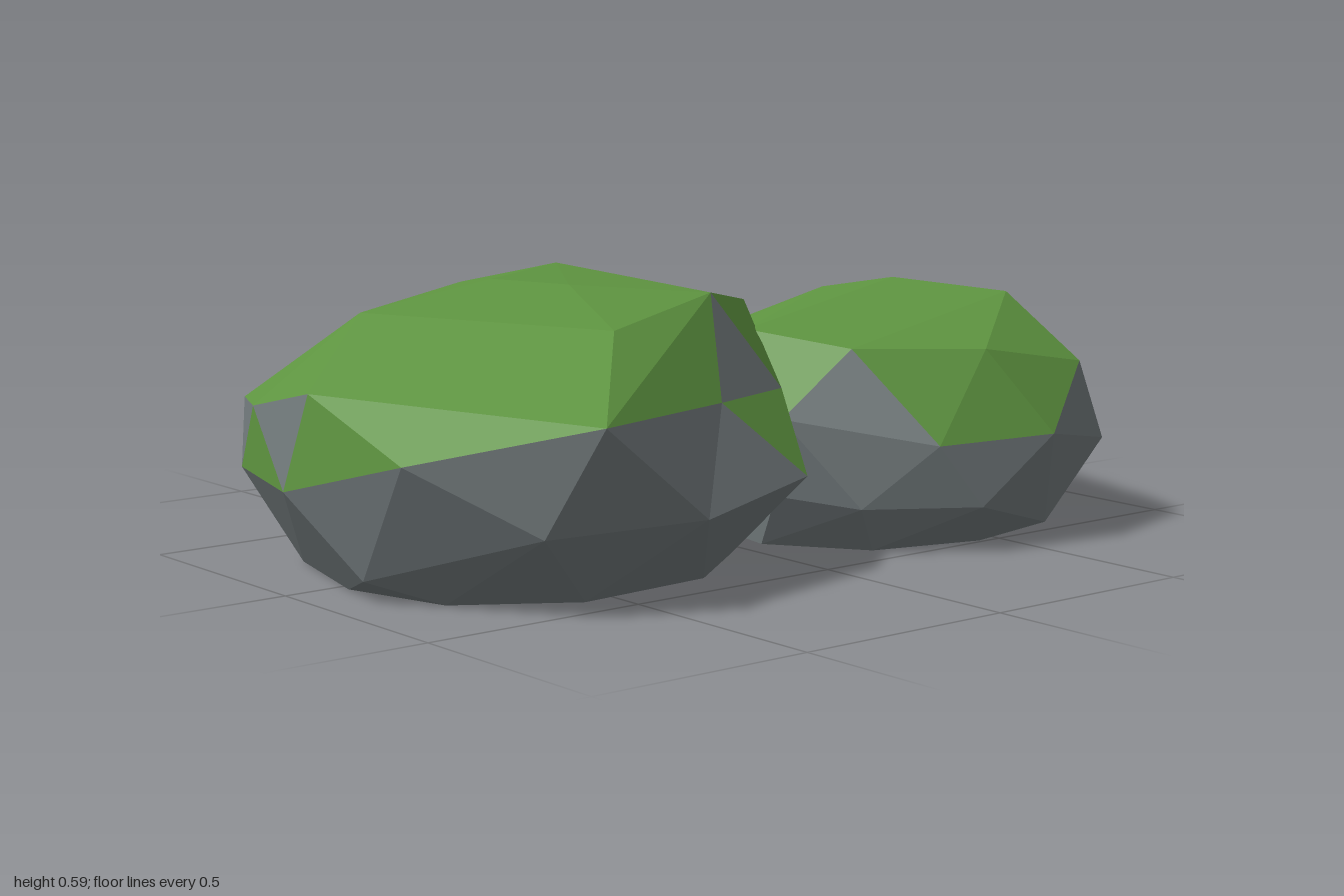
import * as THREE from 'three';
import { ConvexGeometry } from 'three/addons/geometries/ConvexGeometry.js';

const moss = new THREE.MeshStandardMaterial({ color: 0x5e9440 });
moss.name = 'moss green';
const stone = new THREE.MeshStandardMaterial({ color: 0x727a7c });
stone.name = 'stone grey';

const vec = (p) => new THREE.Vector3(...p);
const centre = (pts) => pts.reduce((s, p) => s.add(p), new THREE.Vector3()).divideScalar(pts.length);

// A faceted boulder: a hull whose dented corners sink from an outer to a final
// position, with moss above a height and single facets swapped by patches
function boulder(name, points, dents, mossHeight, mossPatches, stonePatches) {
  const geo = new ConvexGeometry([...points, ...dents.map((d) => d.from)].map(vec));
  const pos = geo.getAttribute('position');
  const corner = (i) => {
    const v = new THREE.Vector3().fromBufferAttribute(pos, i);
    const dent = dents.find((d) => vec(d.from).distanceTo(v) < 1e-4);
    return dent ? vec(dent.to) : v;
  };
  const parts = { Moss: [], Stone: [] };
  for (let i = 0; i < pos.count; i += 3) {
    const tri = [corner(i), corner(i + 1), corner(i + 2)];
    const mid = centre(tri);
    const near = (list) => list.some((t) => centre(t.map(vec)).distanceTo(mid) < 0.045);
    const green = near(mossPatches) || (mid.y > mossHeight && !near(stonePatches));
    tri.forEach((v) => parts[green ? 'Moss' : 'Stone'].push(v.x, v.y, v.z));
  }
  const group = new THREE.Group();
  group.name = name;
  for (const key in parts) {
    const g = new THREE.BufferGeometry();
    g.setAttribute('position', new THREE.Float32BufferAttribute(parts[key], 3));
    g.computeVertexNormals();
    const mesh = new THREE.Mesh(g, key === 'Moss' ? moss : stone);
    mesh.name = name + key;
    group.add(mesh);
  }
  return group;
}

function largeBoulder() {
  // Crown
  const N = [-0.48, 0.53, 0.4], T = [-0.15, 0.57, 0.3], S = [0.135, 0.51, 0.07];
  const A = [-0.26, 0.53, -0.44], P = [-0.97, 0.41, 0.05];
  const crown = [N, T, S, A, P, [-0.46, 0.59, -0.04], [-0.18, 0.59, -0.19], [-0.76, 0.54, -0.08], [-0.38, 0.587, 0.12]];
  // Shoulder
  const L = [-0.94, 0.3, 0.33], R = [-0.67, 0.385, 0.62], B = [-0.41, 0.33, -0.55];
  const G = [-0.76, 0.31, -0.54], I = [-0.92, 0.345, -0.24];
  // Dented shoulder corners
  const U = [-0.27, 0.375, 0.48], K = [0.01, 0.36, 0.34], E = [0.02, 0.44, -0.22], D = [-0.11, 0.34, -0.44];
  const dents = [
    { from: [-0.27, 0.375, 0.53], to: U }, { from: [0.1, 0.38, 0.4], to: K },
    { from: [0.12, 0.46, -0.27], to: E }, { from: [-0.1, 0.38, -0.52], to: D },
  ];
  // Girth
  const Q = [-1, 0.21, 0], V = [-0.08, 0.21, 0.525], W = [-0.41, 0.175, 0.61], X = [0.17, 0.2, -0.18];
  const F = [0.13, 0.22, -0.34], C = [-0.15, 0.12, -0.62], H = [-0.89, 0.2, -0.34];
  const girth = [Q, V, W, X, F, C, H, [-0.75, 0.165, 0.53], [-0.6, 0.15, -0.58], [-0.92, 0.045, 0.16]];
  // Flat underside
  const base = [[-0.87, 0, 0.03], [-0.8, 0, 0.27], [-0.57, 0, 0.42], [-0.25, 0, 0.4], [-0.05, 0, 0.25],
    [-0.03, 0, 0], [-0.1, 0, -0.3], [-0.3, 0, -0.43], [-0.62, 0, -0.42], [-0.8, 0, -0.25]];
  return boulder('largeBoulder', [...crown, L, R, B, G, I, ...girth, ...base], dents, 0.355,
    [[U, K, V], [I, H, Q], [P, Q, L], [C, D, F], [D, E, F], [E, F, X], [R, P, L], [A, B, D], [G, I, P]],
    [[T, U, K], [A, E, D]]);
}

function smallBoulder() {
  // Crown
  const a = [0.55, 0.53, 0.1], b = [0.68, 0.51, 0.33], c = [0.58, 0.48, -0.17], d = [0.065, 0.46, 0.16];
  const e = [0.18, 0.43, 0.37], f = [0.45, 0.42, 0.5], g = [0.31, 0.39, -0.26], w = [0.78, 0.44, 0.06];
  // Shoulder
  const h = [0.73, 0.37, 0.51], j = [0.93, 0.3, 0.05], k = [0.81, 0.33, -0.17], v = [0.11, 0.4, -0.08];
  const l = [0.27, 0.235, 0.55], m = [0.55, 0.24, 0.61], n = [0.02, 0.29, 0.33];
  // Dented shoulder corners
  const i = [0.83, 0.345, 0.28], u = [0.53, 0.31, -0.25];
  const dents = [{ from: [0.91, 0.37, 0.32], to: i }, { from: [0.54, 0.35, -0.33], to: u }];
  // Girth
  const o = [0.83, 0.185, 0.49], p = [1, 0.145, 0.22], q = [0.93, 0.14, -0.09], r = [0.69, 0.15, -0.31];
  const s = [0.17, 0.25, -0.19], t = [0.39, 0.15, -0.3];
  const girth = [o, p, q, r, s, t, [0.36, 0.1, 0.59], [0.14, 0.1, 0.45], [0.6, 0.03, 0.54], [0.03, 0.12, 0.3]];
  // Flat underside
  const base = [[0.82, 0, 0.08], [0.79, 0, 0.33], [0.45, 0, 0.49], [0.2, 0, 0.42], [0.06, 0, 0.22],
    [0.1, 0, 0], [0.3, 0, -0.2], [0.6, 0, -0.26], [0.78, 0, -0.08]];
  return boulder('smallBoulder', [a, b, c, d, e, f, g, w, h, j, k, v, l, m, n, ...girth, ...base], dents, 0.335,
    [[f, l, m], [f, m, h], [h, o, i], [j, p, q], [k, r, u]],
    [[g, c, u], [c, k, u], [v, g, s], [e, l, n]]);
}

export function createModel() {
  const model = new THREE.Group();
  model.name = 'mossyBoulders';
  model.add(largeBoulder(), smallBoulder());
  return model;
}
